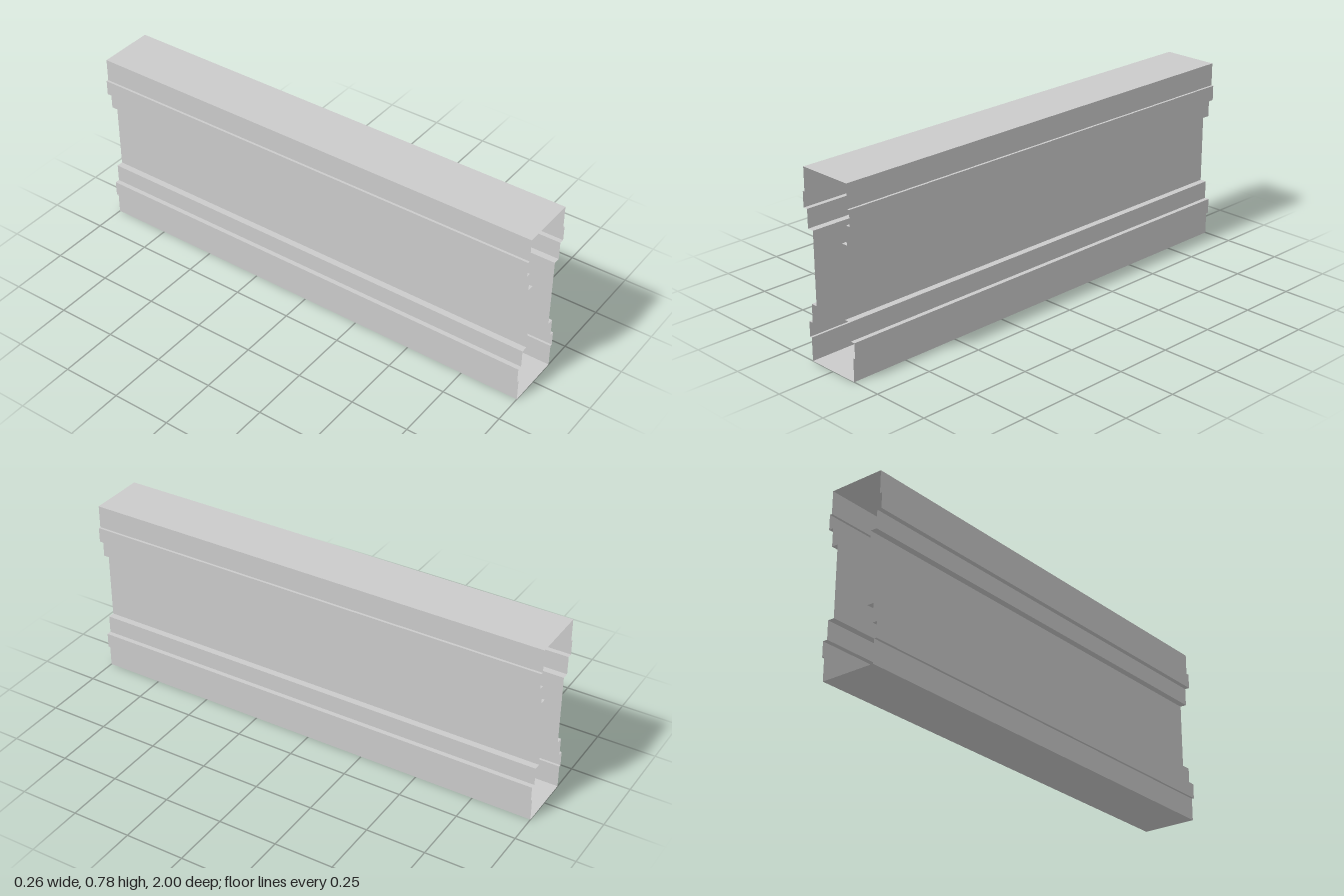
import * as THREE from 'three';

const HALF_LENGTH = 1;
const HEIGHT = 0.776;
const material = new THREE.MeshStandardMaterial({ color: 0xcccccc, flatShading: true, side: THREE.DoubleSide });

// Thin sheet: an open cross-section [x, y] swept along z, listed counter-clockwise so it faces outward
function sheet(name, points) {
  const positions = [];
  for (let i = 0; i < points.length - 1; i++) {
    const [ax, ay] = points[i];
    const [bx, by] = points[i + 1];
    const a0 = [ax, ay, HALF_LENGTH], a1 = [ax, ay, -HALF_LENGTH];
    const b0 = [bx, by, HALF_LENGTH], b1 = [bx, by, -HALF_LENGTH];
    positions.push(...a0, ...a1, ...b1, ...a0, ...b1, ...b0);
  }
  const geometry = new THREE.BufferGeometry();
  geometry.setAttribute('position', new THREE.Float32BufferAttribute(positions, 3));
  geometry.computeVertexNormals();
  const mesh = new THREE.Mesh(geometry, material);
  mesh.name = name;
  return mesh;
}

export function createModel() {
  const group = new THREE.Group();
  group.name = 'channelBeam';

  // Stepped bands of the lower half: [half width, bottom, top]
  const bands = [
    [0.12, 0, 0.097],
    [0.13, 0.097, 0.161],
    [0.11, 0.161, 0.238],
  ];
  const lower = bands.flatMap(([x, y0, y1]) => [[x, y0], [x, y1]]);
  lower.push([0.082, 0.238]);

  // Full wall: lower half mirrored about mid-height
  const upper = lower.map(([x, y]) => [x, HEIGHT - y]).reverse();
  const wall = [...lower, ...upper];
  group.add(sheet('leftWall', wall));
  group.add(sheet('rightWall', wall.map(([x, y]) => [-x, y]).reverse()));

  // Top and bottom plates; both ends stay open
  const w = bands[0][0];
  group.add(sheet('topPlate', [[w, HEIGHT], [-w, HEIGHT]]));
  group.add(sheet('bottomPlate', [[-w, 0], [w, 0]]));

  return group;
}
